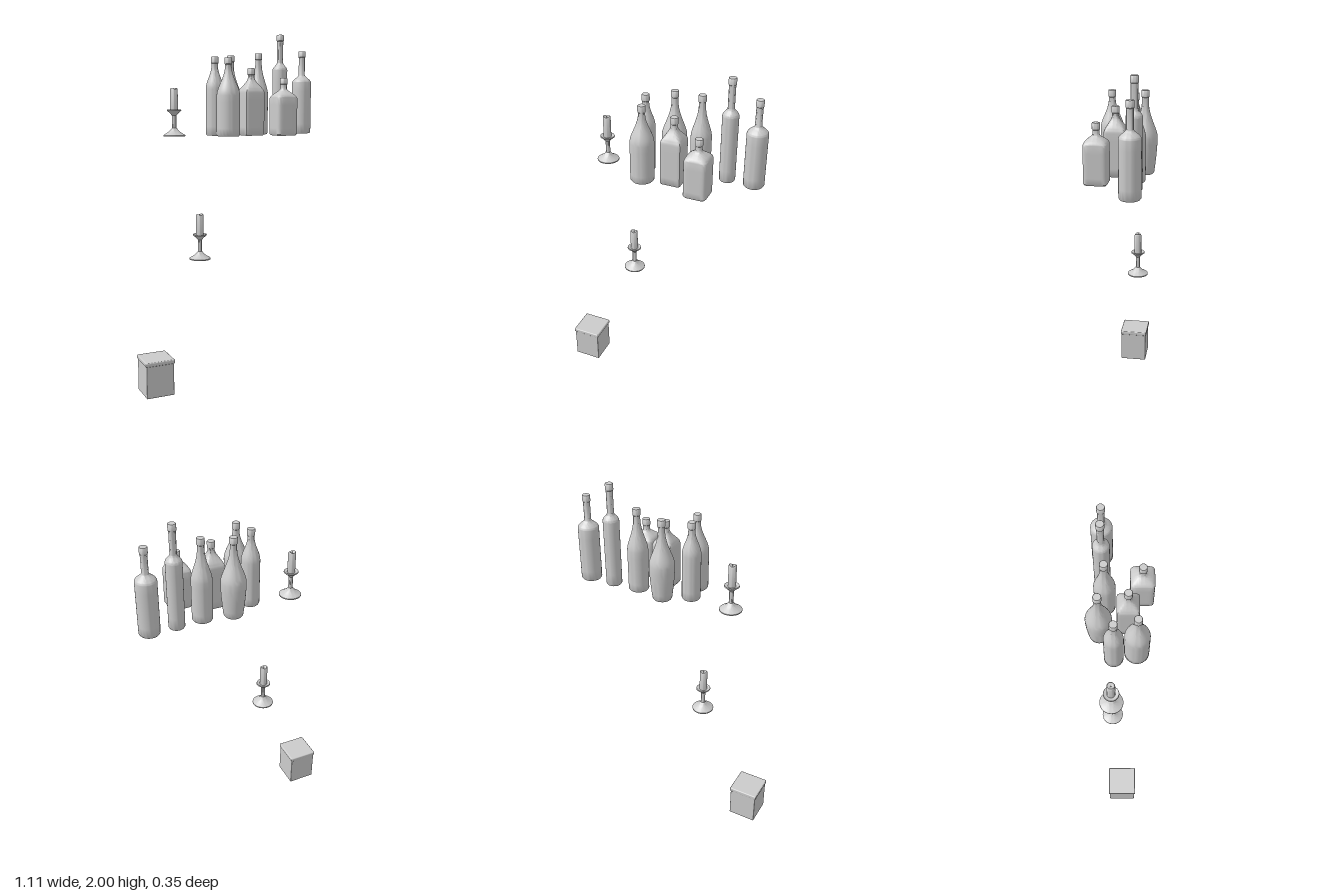
import * as THREE from 'three';
import { toCreasedNormals } from 'three/addons/utils/BufferGeometryUtils.js';
import { RoundedBoxGeometry } from 'three/addons/geometries/RoundedBoxGeometry.js';

const grey = new THREE.MeshStandardMaterial({ color: 0xcccccc, side: THREE.DoubleSide });
const SHELF = 1.43; // height the bottles stand at
const NECK = 0.018, LIP = 0.021, LIP_HEIGHT = 0.034;

// Turned part from points listed bottom to top; "reshape" may move each vertex
function turned(name, points, segments, reshape) {
  const geometry = new THREE.LatheGeometry(points, segments);
  if (reshape) {
    const p = geometry.attributes.position, v = new THREE.Vector3();
    for (let i = 0; i < p.count; i++) {
      reshape(v.fromBufferAttribute(p, i));
      p.setXYZ(i, v.x, v.y, v.z);
    }
  }
  const mesh = new THREE.Mesh(toCreasedNormals(geometry, 0.7), grey);
  mesh.name = name;
  return mesh;
}

// Rounded foot, straight or swelling body, S-curved shoulder, neck and lip.
// "slope" below 1 gives a long taper, above 1 a full shoulder.
function bottle({ name, x, z, r, foot = r, shoulder, neck, top, slope, square }) {
  const points = [new THREE.Vector2(0, 0.006)];
  const add = (radius, y) => points.push(new THREE.Vector2(radius, y));
  add(foot * 0.8, 0.004);
  add(foot * 0.9, 0);
  for (let i = 0; i <= 6; i++) {
    const t = i / 6;
    add(foot + (r - foot) * Math.sin(t * Math.PI / 2), THREE.MathUtils.lerp(0.008, shoulder, t));
  }
  for (let i = 1; i <= 12; i++) {
    const t = i / 12;
    const fall = (1 + Math.cos(Math.PI * t ** slope)) / 2;
    add(NECK + (r - NECK) * fall, THREE.MathUtils.lerp(shoulder, neck, t));
  }
  const lip = top - LIP_HEIGHT;
  add(NECK, lip - 0.003);
  add(LIP, lip);
  add(LIP, top - 0.003);
  add(LIP - 0.002, top);
  add(0, top);

  // Square bottles: superellipse body blending to a round neck
  const squareOff = (v) => {
    const radius = Math.hypot(v.x, v.z);
    if (radius < 1e-6) return;
    const c = Math.abs(v.x / radius), s = Math.abs(v.z / radius);
    const corner = (c ** square + s ** square) ** (-1 / square);
    const f = THREE.MathUtils.lerp(corner, 1, THREE.MathUtils.smoothstep(v.y, shoulder, neck));
    v.x *= f;
    v.z *= f;
  };
  const mesh = turned(name, points, square ? 64 : 40, square && squareOff);
  mesh.position.set(x, SHELF, z);
  return mesh;
}

const bottles = [
  { name: 'slimTaperedBottle', x: -0.09, z: -0.037, r: 0.05, shoulder: 0.255, neck: 0.385, top: 0.432, slope: 0.95 },
  { name: 'slopingBottle', x: -0.06, z: 0.08, r: 0.064, shoulder: 0.22, neck: 0.38, top: 0.423, slope: 0.87 },
  { name: 'flaredBottle', x: 0.042, z: -0.112, r: 0.067, foot: 0.052, shoulder: 0.2, neck: 0.39, top: 0.445, slope: 0.78 },
  { name: 'longNeckBottle', x: 0.204, z: -0.082, r: 0.055, shoulder: 0.235, neck: 0.41, top: 0.46, slope: 0.77 },
  { name: 'tallBottle', x: 0.352, z: -0.097, r: 0.043, shoulder: 0.368, neck: 0.412, top: 0.57, slope: 1.1 },
  { name: 'broadShoulderBottle', x: 0.499, z: -0.097, r: 0.056, shoulder: 0.295, neck: 0.345, top: 0.48, slope: 1.2 },
  { name: 'squareBottle', x: 0.1, z: 0.036, r: 0.0575, shoulder: 0.235, neck: 0.325, top: 0.37, slope: 1, square: 14 },
  { name: 'softSquareBottle', x: 0.264, z: 0.11, r: 0.063, shoulder: 0.2, neck: 0.26, top: 0.317, slope: 1.4, square: 7 },
];

// Candlestick: flared base, thin stem, dished cup and a worn candle
function candlestick(name, x, y, z) {
  const group = new THREE.Group();
  group.name = name;
  const profile = [new THREE.Vector2(0, 0), new THREE.Vector2(0.06, 0)];
  for (let i = 0; i <= 6; i++) {
    profile.push(new THREE.Vector2(0.017 + 0.043 * (1 - i / 6) ** 1.4, 0.006 + 0.034 * i / 6));
  }
  for (const [r, h] of [[0.012, 0.045], [0.012, 0.112], [0.024, 0.126], [0.04, 0.139], [0.038, 0.145], [0.026, 0.139], [0, 0.139]]) {
    profile.push(new THREE.Vector2(r, h));
  }
  const candlePoints = [[0.021, 0.137], [0.021, 0.252], [0.017, 0.258], [0, 0.249]].map(([r, h]) => new THREE.Vector2(r, h));
  // The candle rim dips where wax has melted
  const melt = (v) => {
    if (v.y > 0.2) v.y += 0.2 * Math.hypot(v.x, v.z) * Math.sin(2 * Math.atan2(v.z, v.x) + 2);
  };
  const wick = new THREE.Mesh(new THREE.CylinderGeometry(0.0015, 0.0015, 0.014, 6), grey);
  wick.name = 'wick';
  wick.position.y = 0.254;
  group.add(turned('stick', profile, 40), turned('candle', candlePoints, 24, melt), wick);
  group.position.set(x, y, z);
  return group;
}

function roundedBlock(name, width, height, radius, y) {
  const mesh = new THREE.Mesh(new RoundedBoxGeometry(width, height, width, 3, radius), grey);
  mesh.name = name;
  mesh.position.y = y;
  return mesh;
}

export function createModel() {
  const model = new THREE.Group();
  model.add(...bottles.map(bottle));
  model.add(candlestick('upperCandlestick', -0.327, SHELF, -0.049));
  model.add(candlestick('lowerCandlestick', -0.18, 0.728, -0.049));

  // Lidded square container
  const container = new THREE.Group();
  container.name = 'container';
  container.add(
    roundedBlock('containerBody', 0.159, 0.19, 0.003, 0.095),
    roundedBlock('containerLid', 0.169, 0.024, 0.006, 0.194),
  );
  container.position.set(-0.473, 0, 0.006);
  model.add(container);
  return model;
}
